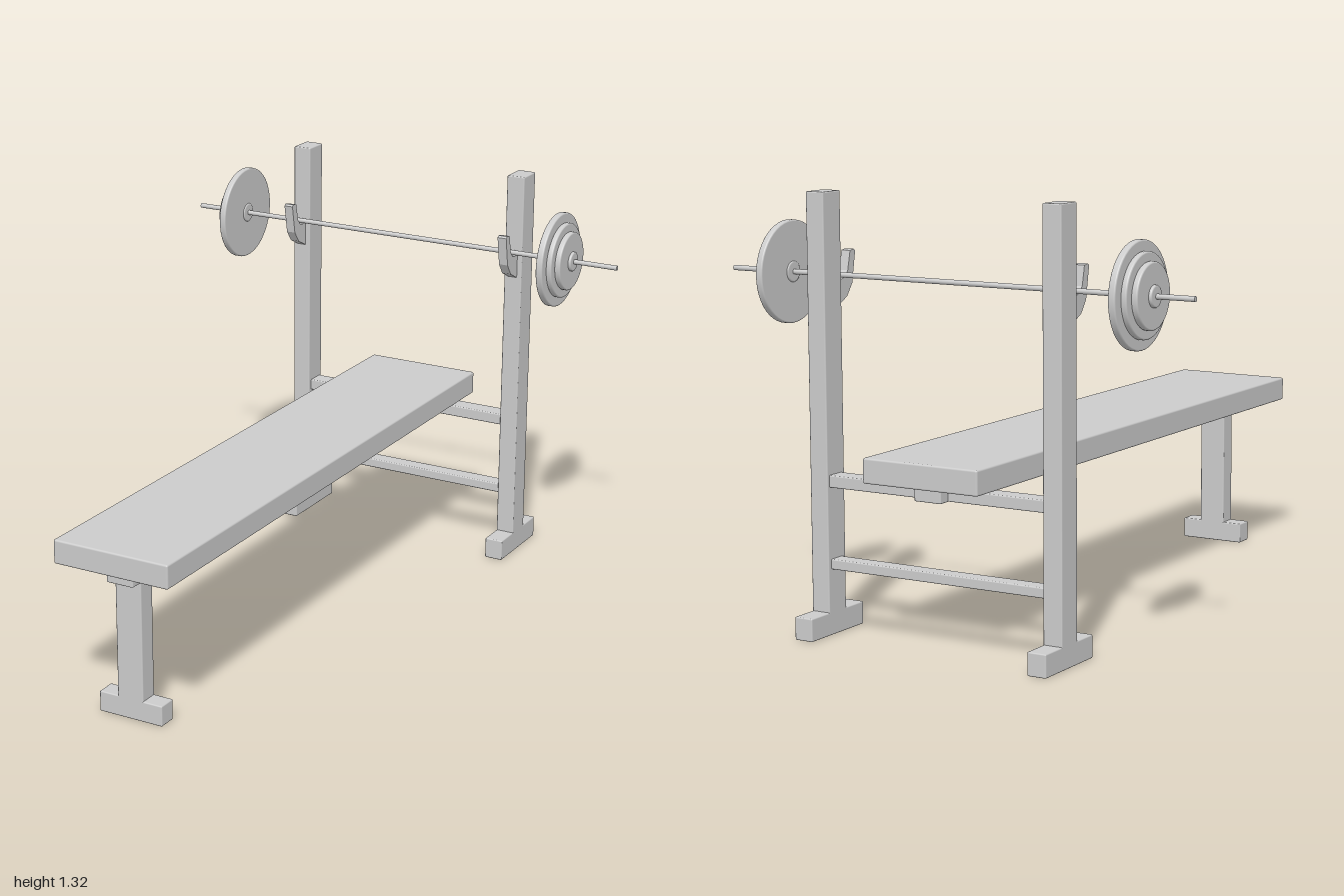
import * as THREE from 'three';
import { RoundedBoxGeometry } from 'three/addons/geometries/RoundedBoxGeometry.js';

const material = new THREE.MeshStandardMaterial({ color: 0xcccccc });
const BAR_Y = 1.07, BAR_Z = -0.803;

export function createModel() {
  const model = new THREE.Group();
  model.name = 'weightBench';

  const add = (name, geometry, parent = model) => {
    const mesh = new THREE.Mesh(geometry, material);
    mesh.name = name;
    parent.add(mesh);
    return mesh;
  };

  // Softly bevelled block given by its extents on each axis
  const block = (name, [x0, x1], [y0, y1], [z0, z1], r = 0.004) => {
    const mesh = add(name, new RoundedBoxGeometry(x1 - x0, y1 - y0, z1 - z0, 2, r));
    mesh.position.set((x0 + x1) / 2, (y0 + y1) / 2, (z0 + z1) / 2);
  };

  // Bench: pad, spine and front leg with its foot
  block('pad', [-0.192, 0.2], [0.491, 0.567], [-0.981, 0.998], 0.006);
  block('spine', [-0.041, 0.05], [0.447, 0.493], [-0.938, 0.95]);
  block('frontLeg', [-0.04, 0.049], [0.05, 0.455], [0.845, 0.907]);
  block('frontFoot', [-0.105, 0.114], [0, 0.066], [0.845, 0.907]);

  // Rack: cross bars between the two uprights
  block('upperCrossBar', [-0.37, 0.382], [0.448, 0.485], [-0.899, -0.837]);
  block('lowerCrossBar', [-0.37, 0.382], [0.2, 0.231], [-0.895, -0.841]);

  // Bar rest profile, drawn as (-z, y) and extruded across x
  const restShape = new THREE.Shape([
    [0.835, 0.975], [0.822, 0.98], [0.775, 1.003], [0.748, 1.04], [0.731, 1.135], [0.737, 1.141],
    [0.757, 1.138], [0.77, 1.08], [0.785, 1.062], [0.803, 1.057], [0.835, 1.075],
  ].map(([x, y]) => new THREE.Vector2(x, y)));

  for (const [side, x] of [['left', 0.4075], ['right', -0.3955]]) {
    const span = [x - 0.031, x + 0.031];
    block(side + 'Upright', span, [0.04, 1.322], [-0.909, -0.823]);
    block(side + 'RackFoot', span, [0, 0.07], [-0.998, -0.735]);
    const rest = add(side + 'BarRest', new THREE.ExtrudeGeometry(restShape, { depth: 0.031, bevelEnabled: false }));
    rest.rotation.y = Math.PI / 2;
    rest.position.x = x - 0.0165;
  }

  // Barbell: thin bar with three stepped plates and a hub at each end
  const barbell = new THREE.Group();
  barbell.name = 'barbell';
  barbell.position.set(-0.002, BAR_Y, BAR_Z);
  model.add(barbell);
  const bar = add('bar', new THREE.CylinderGeometry(0.008, 0.008, 1.574, 20), barbell);
  bar.rotation.z = Math.PI / 2;

  // Disc with rounded rim, lying between two distances along the bar
  const disc = (radius, from, to) => {
    const b = Math.min(0.005, (to - from) * 0.3), points = [new THREE.Vector2(0, from)];
    for (const [cy, start] of [[from + b, -Math.PI / 2], [to - b, 0]]) {
      for (let i = 0; i <= 4; i++) {
        const a = start + (i * Math.PI) / 8;
        points.push(new THREE.Vector2(radius - b + b * Math.cos(a), cy + b * Math.sin(a)));
      }
    }
    points.push(new THREE.Vector2(0, to));
    return new THREE.LatheGeometry(points, 48);
  };

  const discs = [
    ['Hub', 0.032, 0, 0.073],
    ['LargePlate', 0.155, 0.004, 0.027],
    ['MediumPlate', 0.123, 0.026, 0.045],
    ['SmallPlate', 0.096, 0.044, 0.064],
  ];
  for (const [side, s, inner] of [['left', 1, 0.564], ['right', -1, 0.594]]) {
    for (const [name, radius, from, to] of discs) {
      const mesh = add(side + name, disc(radius, from, to), barbell);
      mesh.rotation.z = (-s * Math.PI) / 2;
      mesh.position.x = s * inner;
    }
  }

  return model;
}
